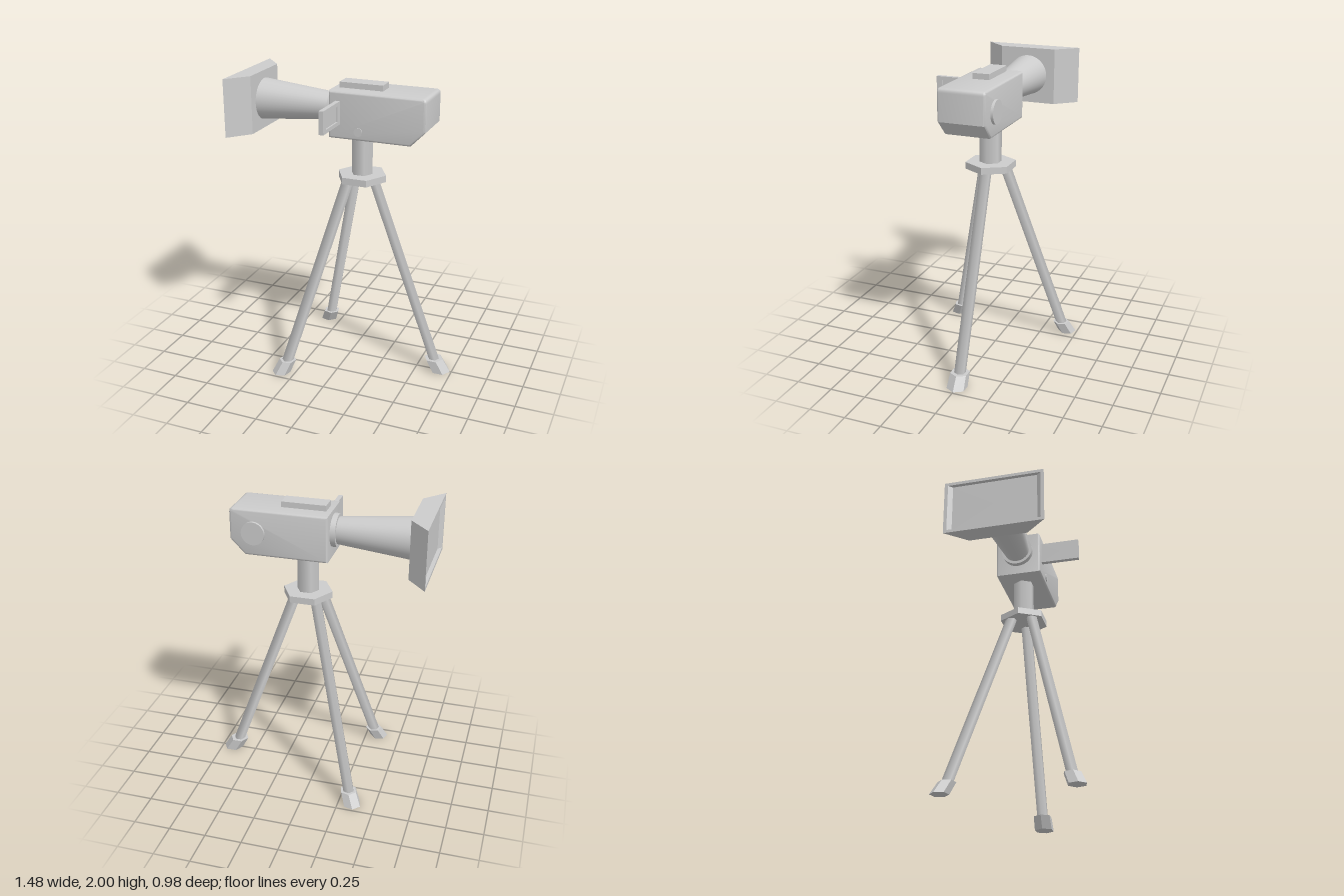
import * as THREE from 'three';
import { toCreasedNormals } from 'three/addons/utils/BufferGeometryUtils.js';

const smooth = new THREE.MeshStandardMaterial({ color: 0xcccccc });
const flat = new THREE.MeshStandardMaterial({ color: 0xcccccc, flatShading: true });

const AXIS_X = 0.082; // tripod centre line
const LENS_Y = 1.81;

export function createModel() {
  const model = new THREE.Group();
  const add = (name, geometry, material = flat) => {
    const mesh = new THREE.Mesh(geometry, material);
    mesh.name = name;
    model.add(mesh);
    return mesh;
  };

  // Camera body: side profile with a cut lower rear corner and softened edges
  const bevel = 0.015;
  const halfZ = 0.158;
  const profile = new THREE.Shape();
  profile.moveTo(-0.09, 1.64);
  profile.lineTo(0.457, 1.64);
  profile.lineTo(0.555, 1.74);
  profile.lineTo(0.555, 1.92);
  profile.quadraticCurveTo(0.555, 1.948, 0.527, 1.948);
  profile.lineTo(-0.09, 1.948);
  const body = new THREE.ExtrudeGeometry(profile, {
    depth: 2 * (halfZ - bevel), bevelThickness: bevel, bevelSize: bevel,
    bevelOffset: -bevel, bevelSegments: 3, curveSegments: 6,
  });
  body.translate(0, 0, -halfZ + bevel);
  add('body', toCreasedNormals(body, 0.6), smooth);

  // Top plate
  add('topPlate', new THREE.BoxGeometry(0.295, 0.05, 0.112).translate(0.093, 1.96, 0));

  // Side disc and side button
  add('sideDisc', disc(0.077, 0.035).translate(0.396, 1.795, -0.1575), smooth);
  add('sideButton', disc(0.028, 0.02).translate(0.113, 1.697, 0.154), smooth);

  // Lens ring and flaring barrel
  add('lensRing', barrel(0.108, 0.108, -0.125, -0.08), smooth);
  add('lensBarrel', barrel(0.138, 0.088, -0.62, -0.12), smooth);

  // Flared lens hood with a recessed window
  add('lensHood', rectLoft(LENS_Y - 0.0025, 0, [
    [-0.615, 0, 0], [-0.615, 0.193, 0.195], [-0.74, 0.193, 0.335],
    [-0.74, 0.172, 0.312], [-0.715, 0.172, 0.285], [-0.715, 0, 0],
  ]));

  // Fold-out screen with a recessed panel
  add('foldOutScreen', rectLoft(1.812, 0.289, [
    [-0.02, 0, 0], [-0.02, 0.05, 0.094], [-0.01, 0.05, 0.094],
    [-0.01, 0.075, 0.134], [-0.04, 0.075, 0.134], [-0.04, 0, 0],
  ]));

  // Tripod post and hexagonal platform
  add('post', leaningPrism(0.073, 0.073, [AXIS_X, 1.66, 0], [AXIS_X, 1.36, 0], 0), smooth);
  add('platform', leaningPrism(0.167, 0.167, [AXIS_X, 1.375, 0], [AXIS_X, 1.33, 0], 0));

  // Legs with hexagonal feet
  const legs = [
    { name: 'Rear', angle: 0, top: 0.081, bottom: 0.543, foot: 0.067 },
    { name: 'FrontLeft', angle: 0.75 * Math.PI, top: 0.1, bottom: 0.56, foot: 0.06 },
    { name: 'FrontRight', angle: -0.75 * Math.PI, top: 0.1, bottom: 0.56, foot: 0.06 },
  ];
  for (const { name, angle, top, bottom, foot } of legs) {
    const at = (reach, y) => [AXIS_X + reach * Math.cos(angle), y, reach * Math.sin(angle)];
    const turn = angle === 0 ? 0 : angle + Math.PI / 6;
    add('leg' + name, leaningPrism(0.039, 0.039, at(top, 1.34), at(bottom, 0.07), turn), smooth);
    add('foot' + name, leaningPrism(foot - 0.002, foot + 0.002,
      at(bottom - 0.005, 0.086), at(bottom + 0.045, 0), turn));
  }
  return model;
}

// Round disc facing along z
function disc(radius, depth) {
  return new THREE.CylinderGeometry(radius, radius, depth, 32).rotateX(Math.PI / 2);
}

// Round section of the lens along x
function barrel(rOuter, rInner, x0, x1) {
  return new THREE.CylinderGeometry(rInner, rOuter, x1 - x0, 40)
    .rotateZ(-Math.PI / 2).translate((x0 + x1) / 2, LENS_Y, 0);
}

// Six-sided prism with level ends, sheared from its top centre to its bottom centre
function leaningPrism(rTop, rBottom, top, bottom, turn) {
  const h = top[1] - bottom[1];
  const g = new THREE.CylinderGeometry(rTop, rBottom, h, 6, 1, false, Math.PI / 2 - turn);
  const p = g.attributes.position;
  for (let i = 0; i < p.count; i++) {
    const t = p.getY(i) / h + 0.5;
    p.setXYZ(i, p.getX(i) + bottom[0] + (top[0] - bottom[0]) * t, bottom[1] + h * t,
      p.getZ(i) + bottom[2] + (top[2] - bottom[2]) * t);
  }
  return g;
}

// Skin over rectangles [x, halfHeight, halfDepth] centred on (cy, cz)
function rectLoft(cy, cz, sections) {
  const corners = [[-1, -1], [1, -1], [1, 1], [-1, 1]];
  const point = ([x, hy, hz], k) => [x, cy + corners[k % 4][0] * hy, cz + corners[k % 4][1] * hz];
  const positions = [];
  for (let i = 0; i + 1 < sections.length; i++) {
    for (let k = 0; k < 4; k++) {
      const a = point(sections[i], k), b = point(sections[i], k + 1);
      const c = point(sections[i + 1], k + 1), d = point(sections[i + 1], k);
      if (sections[i + 1][1] > 0) positions.push(...a, ...d, ...c);
      if (sections[i][1] > 0) positions.push(...a, ...c, ...b);
    }
  }
  const g = new THREE.BufferGeometry();
  g.setAttribute('position', new THREE.Float32BufferAttribute(positions, 3));
  g.computeVertexNormals();
  return g;
}
